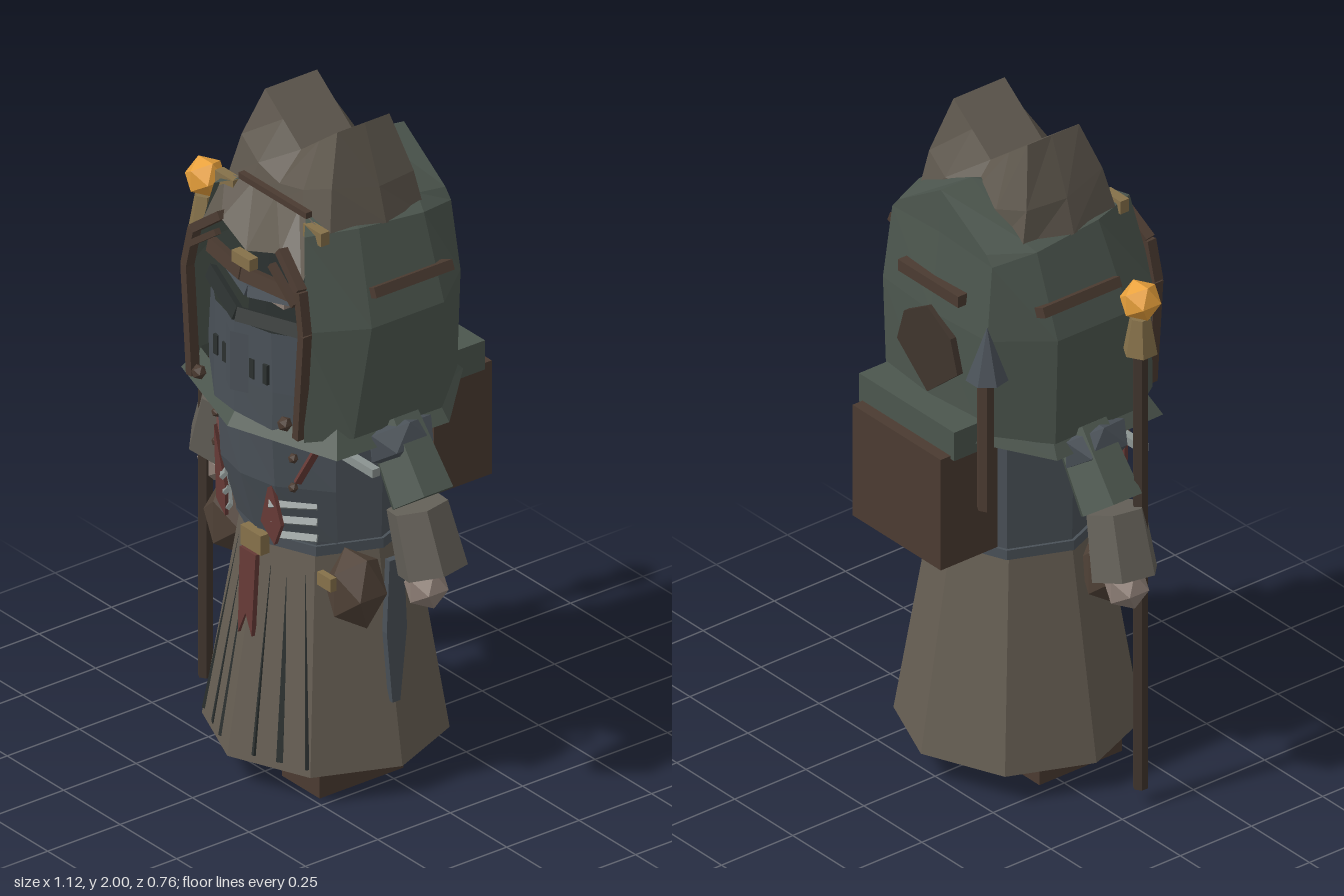
import * as THREE from 'three';

const mat = (color) => new THREE.MeshStandardMaterial({ color, flatShading: true, side: THREE.DoubleSide });
const M = {
  green: mat(0x4c564e), cloth: mat(0x665e53), hat: mat(0x5f584e), steel: mat(0x4a5158), dark: mat(0x2b302f),
  brown: mat(0x4b3b31), pouch: mat(0x504237), gold: mat(0x86714a), orb: mat(0xeaa23c), red: mat(0x663a36),
  pale: mat(0x8b9391), skin: mat(0x8f8077), wood: mat(0x40352d), sleeve: mat(0x646058),
};

export function createModel() {
  const model = new THREE.Group();

  const add = (name, geo, m, x = 0, y = 0, z = 0) => {
    const mesh = new THREE.Mesh(geo, m);
    mesh.name = name;
    mesh.position.set(x, y, z);
    model.add(mesh);
    return mesh;
  };
  const box = (name, m, w, h, d, x, y, z) => add(name, new THREE.BoxGeometry(w, h, d), m, x, y, z);

  // Any y-aligned geometry laid between two points
  const span = (name, m, a, b, makeGeo) => {
    const A = new THREE.Vector3(...a), B = new THREE.Vector3(...b);
    const dir = B.clone().sub(A), mid = A.clone().add(B).multiplyScalar(0.5);
    const mesh = add(name, makeGeo(dir.length()), m, mid.x, mid.y, mid.z);
    mesh.quaternion.setFromUnitVectors(new THREE.Vector3(0, 1, 0), dir.normalize());
    return mesh;
  };
  const bar = (name, m, a, b, w, d) => span(name, m, a, b, (len) => new THREE.BoxGeometry(w, len, d));

  // Sheet skinned over rows of points
  const sheet = (name, m, rows) => {
    const n = rows[0].length, idx = [];
    for (let r = 0; r < rows.length - 1; r++) {
      for (let i = 0; i < n - 1; i++) {
        const a = r * n + i, b = a + n;
        idx.push(a, a + 1, b, a + 1, b + 1, b);
      }
    }
    const geo = new THREE.BufferGeometry();
    geo.setAttribute('position', new THREE.Float32BufferAttribute(rows.flat(2), 3));
    geo.setIndex(idx);
    geo.computeVertexNormals();
    return add(name, geo, m);
  };
  // Completes a half row (ending on x = 0) with its mirror image
  const mirror = (half) => [...half, ...half.slice(0, -1).reverse().map(([x, y, z]) => [-x, y, z])];
  const flat = (name, m, pts, depth, x, y, z) => {
    const shape = new THREE.Shape(pts.map((p) => new THREE.Vector2(...p)));
    return add(name, new THREE.ExtrudeGeometry(shape, { depth, bevelEnabled: false }), m, x, y, z);
  };

  // Robe, belt and torso
  add('robeSkirt', new THREE.CylinderGeometry(0.235, 0.34, 0.64, 8), M.cloth, 0, 0.41, 0.04);
  add('belt', new THREE.CylinderGeometry(0.25, 0.25, 0.03, 8), M.steel, 0, 0.74, 0.035);
  add('torso', new THREE.CylinderGeometry(0.25, 0.24, 0.46, 8), M.steel, 0, 0.95, 0.035);
  sheet('breastplate', M.steel, [
    mirror([[0.25, 1.13, 0.2], [0.12, 1.13, 0.32], [0, 1.13, 0.34]]),
    mirror([[0.25, 0.95, 0.2], [0.12, 0.95, 0.31], [0, 0.95, 0.335]]),
    mirror([[0.22, 0.77, 0.17], [0.11, 0.77, 0.26], [0, 0.77, 0.285]]),
  ]);
  box('beltBuckle', M.gold, 0.09, 0.06, 0.03, 0, 0.73, 0.285);
  flat('redTail', M.red, [[-0.035, 0], [0.035, 0], [0.03, -0.25], [0, -0.19], [-0.03, -0.26]], 0.015, 0, 0.7, 0.295).rotation.x = -0.04;
  flat('redRag', M.red, [[0.1, 0.97], [0.15, 0.84], [0.12, 0.77], [0.06, 0.82]], 0.012, 0, 0, 0.3);
  flat('redRag', M.red, [[-0.16, 1.02], [-0.11, 0.85], [-0.11, 0.76], [-0.15, 0.8]], 0.012, 0, 0, 0.29);
  for (const s of [-1, 1]) {
    box('boot', M.brown, 0.167, 0.1, 0.29, s * 0.133, 0.05, 0.085);
    // Dark pleats widening down the front of the robe
    for (const x of [0.07, 0.145, 0.225]) {
      span('pleat', M.dark, [s * x * 0.65, 0.66, 0.283 - x * 0.27], [s * x, 0.11, 0.368 - x * 0.41],
        (len) => new THREE.CylinderGeometry(0.014, 0.004, len, 4));
    }
    add('beltPouch', new THREE.IcosahedronGeometry(0.11, 0), M.pouch, s * 0.268, 0.645, 0.145).scale.set(0.85, 1.12, 0.8);
    for (let i = 0; i < 3; i++) bar('chestLace', M.pale, [s * 0.1, 0.79 + i * 0.05, 0.295 + i * 0.01], [s * 0.2, 0.795 + i * 0.05, 0.225], 0.02, 0.012);
    box('shoulderClasp', M.pale, 0.16, 0.025, 0.025, s * 0.31, 1.06, 0.17);
    bar('chestStrap', M.red, [s * 0.24, 1.14, 0.22], [s * 0.17, 0.97, 0.27], 0.02, 0.012);
    for (const y of [0.96, 1.05]) add('rivet', new THREE.IcosahedronGeometry(0.015, 0), M.brown, s * 0.17, y, 0.285);
  }
  box('pouchBuckle', M.gold, 0.06, 0.04, 0.02, 0.255, 0.69, 0.235);

  // Arms
  for (const s of [-1, 1]) {
    add('shoulderPad', new THREE.IcosahedronGeometry(0.12, 0), M.steel, s * 0.335, 1.1, 0.04).scale.set(0.6, 0.65, 1);
    span('upperArm', M.green, [s * 0.285, 1.13, 0.03], [s * 0.415, 0.95, 0.03], () => new THREE.CylinderGeometry(0.1, 0.085, 0.23, 6));
    const fore = add('forearm', new THREE.CylinderGeometry(0.088, 0.1, 0.19, 6), M.sleeve, s * 0.44, 0.84, 0.04);
    fore.rotation.set(0, s * 0.2, s * 0.3);
    add('hand', new THREE.IcosahedronGeometry(0.065, 0), M.skin, s * 0.458, 0.7, 0.05);
  }

  // Hood shell, open at the face, with a gabled back
  sheet('hood', M.green, [
    mirror([[0.25, 1.14, 0.31], [0.33, 1.15, 0.2], [0.335, 1.15, -0.1], [0.21, 1.17, -0.25], [0, 1.17, -0.27]]),
    mirror([[0.255, 1.48, 0.31], [0.345, 1.48, 0.15], [0.345, 1.48, -0.1], [0.225, 1.48, -0.25], [0, 1.48, -0.265]]),
    mirror([[0.2, 1.74, 0.27], [0.25, 1.74, 0.12], [0.255, 1.72, -0.1], [0.215, 1.7, -0.225], [0, 1.72, -0.235]]),
    mirror([[0.12, 1.77, 0.2], [0.17, 1.76, 0.1], [0.2, 1.75, -0.12], [0.19, 1.73, -0.225], [0, 1.85, -0.23]]),
    mirror([[0, 1.77, 0.2], [0, 1.77, 0.1], [0, 1.85, -0.12], [0, 1.85, -0.23], [0, 1.85, -0.23]]),
  ]);
  // Flared hem ring
  const ring = (y, k, yb) => {
    const h = [[0, y, 0.38], [0.345, y, 0.27], [0.355, y, -0.11], [0.2, yb, -0.28], [0, yb, -0.3]];
    return mirror(h.map(([x, yy, z]) => [x * k, yy, z * k]));
  };
  sheet('hoodHem', M.green, [ring(1.11, 1, 1.16), ring(1.18, 0.88, 1.23)]);

  // Pointed cap: two peaks with a valley, narrowing upwards
  sheet('cap', M.hat, [
    mirror([[0.225, 1.74, 0.2], [0.12, 1.75, 0.21], [0, 1.75, 0.21]]),
    mirror([[0.2, 1.86, 0.175], [0.1, 1.82, 0.195], [0, 1.8, 0.2]]),
    mirror([[0.16, 2.0, 0.125], [0.08, 1.94, 0.125], [0, 1.88, 0.125]]),
    mirror([[0.16, 2.0, -0.055], [0.08, 1.94, -0.055], [0, 1.88, -0.055]]),
    mirror([[0.21, 1.83, -0.1], [0.11, 1.8, -0.125], [0, 1.8, -0.12]]),
    mirror([[0.225, 1.69, -0.13], [0.12, 1.7, -0.13], [0, 1.7, -0.13]]),
  ]);
  for (const s of [-1, 1]) {
    sheet('capSide', M.hat, [
      [[s * 0.225, 1.74, 0.2], [s * 0.2, 1.86, 0.175], [s * 0.16, 2, 0.125]],
      [[s * 0.255, 1.73, 0.03], [s * 0.225, 1.83, 0.03], [s * 0.16, 2, 0.03]],
      [[s * 0.225, 1.69, -0.13], [s * 0.21, 1.83, -0.1], [s * 0.16, 2, -0.055]],
    ]);
  }
  sheet('browCloth', M.hat, [
    mirror([[0.215, 1.75, 0.22], [0.1, 1.77, 0.21], [0, 1.77, 0.21]]),
    mirror([[0.225, 1.61, 0.3], [0.13, 1.67, 0.3], [0, 1.63, 0.315]]),
  ]);
  box('capBand', M.brown, 0.3, 0.018, 0.02, 0, 1.77, 0.215);

  // Hood trim, clasps and side bars
  for (const s of [-1, 1]) {
    const path = [[0.235, 1.15, 0.315], [0.26, 1.48, 0.315], [0.235, 1.6, 0.31], [0.13, 1.68, 0.295]];
    for (let i = 0; i < 3; i++) {
      const [[x, y, z], [x2, y2, z2]] = [path[i], path[i + 1]];
      bar('hoodTrim', M.brown, [s * x, y, z], [s * x2, y2, z2], 0.025, 0.03);
    }
    bar('browTrim', M.brown, [s * 0.23, 1.56, 0.325], [s * 0.12, 1.64, 0.32], 0.018, 0.02);
    box('hoodClasp', M.gold, 0.08, 0.04, 0.03, s * 0.195, 1.735, 0.225);
    add('hemStud', new THREE.IcosahedronGeometry(0.022, 0), M.brown, s * 0.19, 1.18, 0.33);
    const side = box('sideBar', M.brown, 0.05, 0.03, 0.27, s * 0.312, 1.57, -0.005);
    side.rotation.z = s * 0.4;
  }
  // Bar and dark kite patch on the back of the hood
  box('backBar', M.brown, 0.26, 0.035, 0.04, 0, 1.57, -0.255);
  flat('backPatch', M.wood, [[0, 1.5], [0.1, 1.44], [0.13, 1.34], [0, 1.23], [-0.13, 1.34], [-0.1, 1.44]], 0.02, 0, 0, -0.278);

  // Helmet inside the hood
  add('helmetCore', new THREE.CylinderGeometry(0.19, 0.23, 0.56, 8), M.dark, 0, 1.38, 0.04);
  const visorRow = (y, k) => mirror([[0.25 * k, y, 0.25], [0.13 * k, y, 0.325], [0, y, 0.355]]);
  sheet('visor', M.steel, [visorRow(1.43, 0.95), visorRow(1.25, 1), visorRow(1.12, 0.98)]);
  sheet('visorRidge', M.steel, [
    [[-0.05, 1.4, 0.345], [0, 1.4, 0.37], [0.05, 1.4, 0.345]],
    [[-0.05, 1.22, 0.345], [0, 1.22, 0.37], [0.05, 1.22, 0.345]],
  ]);
  for (const s of [-1, 1]) {
    for (const x of [0.06, 0.11]) box('visorSlot', M.dark, 0.018, 0.06, 0.02, s * x, 1.3, 0.343 - x * 0.15);
    bar('visorRim', M.dark, [0, 1.445, 0.345], [s * 0.24, 1.445, 0.25], 0.04, 0.02);
    bar('eyeGuard', M.steel, [0, 1.5, 0.3], [s * 0.17, 1.52, 0.25], 0.03, 0.03);
    bar('browBand', M.brown, [0, 1.565, 0.325], [s * 0.2, 1.555, 0.28], 0.04, 0.025);
  }
  box('faceStrip', M.skin, 0.18, 0.03, 0.03, 0, 1.48, 0.24);
  box('browBuckle', M.gold, 0.08, 0.035, 0.03, 0, 1.605, 0.32);

  // Backpack with bedroll and arrow
  box('backpack', M.brown, 0.38, 0.35, 0.2, 0, 0.965, -0.285);
  box('bedroll', M.green, 0.41, 0.09, 0.13, 0, 1.175, -0.285);
  add('arrowShaft', new THREE.CylinderGeometry(0.025, 0.025, 0.42, 6), M.brown, -0.23, 1.17, -0.26);
  add('arrowHead', new THREE.ConeGeometry(0.06, 0.16, 7), M.steel, -0.23, 1.45, -0.255);

  // Short sword at the hip
  flat('swordBlade', M.steel, [[-0.025, 0.72], [0.025, 0.72], [0.035, 0.5], [0.012, 0.28], [-0.015, 0.28], [-0.035, 0.5]], 0.02, 0.295, 0, 0.04).rotation.y = Math.PI / 2;

  // Staff
  add('staffShaft', new THREE.CylinderGeometry(0.022, 0.022, 1.4, 6), M.wood, -0.462, 0.75, 0.095);
  add('staffCollar', new THREE.CylinderGeometry(0.03, 0.05, 0.11, 6), M.gold, -0.462, 1.485, 0.095);
  add('staffOrb', new THREE.IcosahedronGeometry(0.06, 0), M.orb, -0.462, 1.592, 0.095);

  return model;
}
